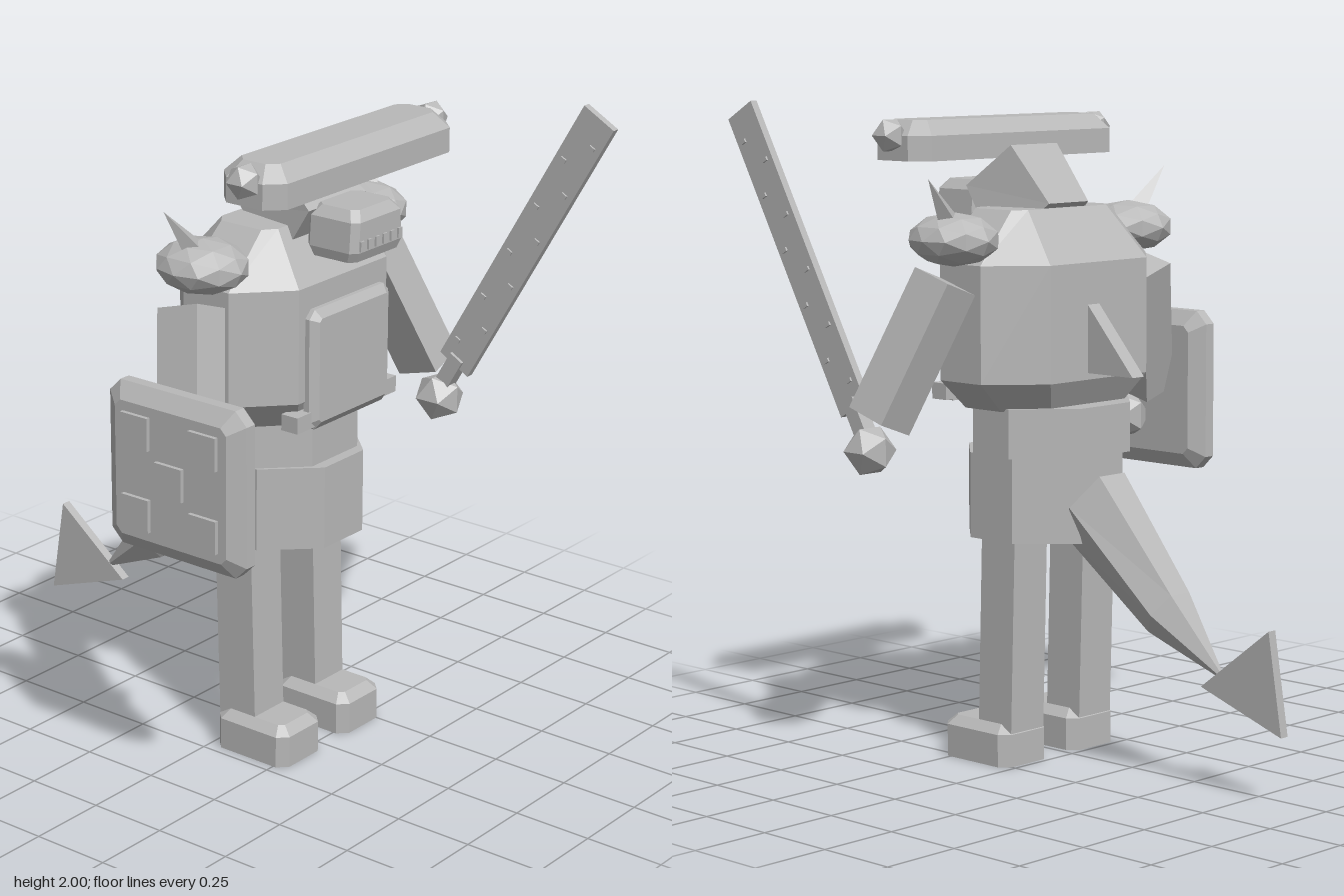
import * as THREE from 'three';

const CX = 0.03; // body's middle line

// Flat-shaded solid through a stack of equal-length rings, capped at both ends
function loft(rings) {
  const pos = [];
  const tri = (a, b, c) => pos.push(...a, ...b, ...c);
  const n = rings[0].length;
  for (let r = 0; r < rings.length - 1; r++) {
    for (let i = 0; i < n; i++) {
      const j = (i + 1) % n, lo = rings[r], hi = rings[r + 1];
      tri(lo[i], lo[j], hi[j]);
      tri(lo[i], hi[j], hi[i]);
    }
  }
  const first = rings[0], last = rings[rings.length - 1];
  for (let i = 1; i < n - 1; i++) {
    tri(first[0], first[i + 1], first[i]);
    tri(last[0], last[i], last[i + 1]);
  }
  const g = new THREE.BufferGeometry();
  g.setAttribute('position', new THREE.Float32BufferAttribute(pos, 3));
  g.computeVertexNormals();
  return g;
}

// Chamfered rectangle at height y: half sizes w, d, corner cuts cw, cd
function oct(y, w, d, cw, cd, z = 0) {
  return [
    [-w + cw, y, z + d], [w - cw, y, z + d], [w, y, z + d - cd], [w, y, z - d + cd],
    [w - cw, y, z - d], [-w + cw, y, z - d], [-w, y, z - d + cd], [-w, y, z + d - cd],
  ];
}

export function createModel() {
  const model = new THREE.Group();
  model.name = 'warrior';
  const stone = new THREE.MeshStandardMaterial({ color: 0xb8b8b8, flatShading: true });
  stone.name = 'grey stone';

  const add = (name, geo, x = 0, y = 0, z = 0, parent = model) => {
    const m = new THREE.Mesh(geo, stone);
    m.name = name;
    m.position.set(x, y, z);
    parent.add(m);
    return m;
  };
  const box = (name, w, h, d, x, y, z, parent) =>
    add(name, new THREE.BoxGeometry(w, h, d), x, y, z, parent);
  // Point a mesh's y axis from a to b and centre it between them
  const span = (mesh, a, b) => {
    mesh.position.copy(a).add(b).multiplyScalar(0.5);
    mesh.quaternion.setFromUnitVectors(new THREE.Vector3(0, 1, 0), b.clone().sub(a).normalize());
    return mesh;
  };
  const V = (x, y, z) => new THREE.Vector3(x, y, z);

  // Torso, belt and skirt
  add('torso', loft([
    oct(1.09, 0.265, 0.175, 0.11, 0.1, 0.085),
    oct(1.18, 0.36, 0.225, 0.15, 0.14, 0.085),
    oct(1.53, 0.36, 0.225, 0.15, 0.14, 0.085),
    oct(1.685, 0.21, 0.105, 0.04, 0.03, 0.095),
  ]), CX);
  add('belt', loft([
    oct(0.95, 0.26, 0.225, 0.15, 0.15, 0.06), oct(1.1, 0.26, 0.225, 0.15, 0.15, 0.06),
  ]), CX);
  add('skirt', loft([
    oct(0.69, 0.234, 0.235, 0.14, 0.147, 0.085), oct(0.95, 0.234, 0.235, 0.14, 0.147, 0.085),
  ]), CX);

  // Chest plate with a bevelled rim and a lower lip
  const plate = loft([
    oct(0, 0.19, 0.185, 0.025, 0.025), oct(0.02, 0.19, 0.185, 0.025, 0.025),
    oct(0.04, 0.165, 0.16, 0.01, 0.01),
  ]);
  plate.rotateX(Math.PI / 2);
  add('chestPlate', plate, CX + 0.01, 1.275, 0.305);
  box('plateLip', 0.48, 0.05, 0.06, CX, 1.125, 0.3);

  // Head: wedge-shaped skull and a blunt snout
  const skullSide = [[1.745, 0.285, 0.135], [1.87, 0.13, 0.1], [1.7, -0.015, 0.085], [1.55, 0.165, 0.135]];
  add('skull', loft([-1, 1].map(s => skullSide.map(([y, z, w]) => [s * w, y, z]))), CX);
  add('snout', loft([
    oct(1.61, 0.115, 0.08, 0.02, 0.02, 0.35), oct(1.64, 0.122, 0.092, 0.02, 0.02, 0.35),
    oct(1.73, 0.115, 0.092, 0.02, 0.02, 0.35), oct(1.76, 0.09, 0.07, 0.02, 0.02, 0.35),
  ]), CX);
  for (let i = 0; i < 6; i++) {
    box('tooth', 0.018, 0.03, 0.012, CX - 0.09 + i * 0.036, 1.66, 0.442);
  }

  // Long beam above the head with a knob at each end
  add('beam', loft([
    oct(1.83, 0.435, 0.115, 0.05, 0.05, 0.29), oct(1.905, 0.435, 0.115, 0.05, 0.05, 0.29),
    oct(1.95, 0.39, 0.07, 0.03, 0.03, 0.29),
  ]), CX);
  for (const s of [-1, 1]) {
    add('beamKnob', new THREE.IcosahedronGeometry(0.055, 0), CX + s * 0.44, 1.905, 0.295);
  }

  // Paired limbs and shoulder armour
  for (const s of [-1, 1]) {
    const side = s > 0 ? 'left' : 'right';
    const pad = add(side + 'ShoulderPad', new THREE.IcosahedronGeometry(1, 1), CX + s * 0.38, 1.605, 0.09);
    pad.scale.set(0.13, 0.08, 0.145);
    const spike = add(side + 'ShoulderSpike', new THREE.ConeGeometry(0.045, 0.2, 4));
    span(spike, V(CX + s * 0.395, 1.635, 0.085), V(CX + s * 0.51, 1.785, 0.06));

    // Upper end sits under the shoulder, lower end swings out and forward
    const arm = box(side + 'Arm', 0.125, 0.455, 0.15);
    span(arm, V(CX + s * 0.575, 1.08, 0.205), V(CX + s * 0.425, 1.48, 0.085));
    add(side + 'Hand', new THREE.IcosahedronGeometry(0.08, 0), CX + s * 0.56, 0.98, 0.265);

    const leg = box(side + 'Leg', 0.14, 0.64, 0.138, CX + s * 0.15, 0.4, 0.078);
    leg.rotation.x = -0.028;
    add(side + 'Foot', loft([
      oct(0, 0.1, 0.138, 0.03, 0.03), oct(0.1, 0.1, 0.138, 0.03, 0.03),
      oct(0.127, 0.07, 0.108, 0.015, 0.015),
    ]), CX + s * 0.15, 0, 0.153);
  }

  // Shield in the right hand, bevelled on both faces
  const shield = new THREE.Group();
  shield.name = 'shield';
  shield.position.set(-0.62, 1.072, 0.237);
  model.add(shield);
  const slab = loft([
    oct(-0.052, 0.205, 0.205, 0.02, 0.02), oct(-0.018, 0.252, 0.252, 0.04, 0.04),
    oct(0.018, 0.252, 0.252, 0.04, 0.04), oct(0.052, 0.205, 0.205, 0.02, 0.02),
  ]);
  slab.rotateZ(-Math.PI / 2);
  add('shieldSlab', slab, 0, 0, 0, shield);
  for (let i = -1; i <= 1; i++) {
    for (let j = -1; j <= 1; j++) {
      if ((i + j) % 2 === 0) box('shieldTile', 0.02, 0.1, 0.1, -0.055, i * 0.125, j * 0.125, shield);
    }
  }

  // Sword in the left hand, leaning forward and up
  const sword = new THREE.Group();
  sword.name = 'sword';
  sword.position.set(0.59, 1.1, 0.325);
  sword.rotation.x = 0.517;
  model.add(sword);
  box('blade', 0.024, 1.0, 0.12, 0, 0.5, 0, sword);
  box('grip', 0.045, 0.2, 0.05, 0, -0.07, 0, sword);
  for (let i = 0; i < 10; i++) {
    const z = i % 2 ? 0.03 : -0.03;
    box('bladeNick', 0.036, 0.012, 0.02, 0, 0.08 + i * 0.092, z, sword);
  }

  // Tail: six-sided sections across a sloping axis, then a flat barb
  const tailRing = (y, z, w, h) => {
    const ring = [];
    for (let i = 0; i < 6; i++) {
      const a = i / 6 * Math.PI * 2;
      const k = Math.sin(a) * h / 0.866;
      ring.push([CX + 0.01 + Math.cos(a) * w, y + k * 0.8, z - k * 0.6]);
    }
    return ring;
  };
  add('tail', loft([
    tailRing(0.8, -0.13, 0.11, 0.12), tailRing(0.51, -0.43, 0.08, 0.075),
    tailRing(0.345, -0.64, 0.006, 0.006),
  ].map(r => r.reverse()).reverse()));

  // Flat triangles standing in the side plane
  const fin = (name, pts, x0, x1) =>
    add(name, loft([x0, x1].map(x => pts.map(([y, z]) => [x, y, z]))));
  fin('tailBarb', [[0.31, -0.575], [0.51, -0.83], [0.205, -0.88]], 0.03, 0.06);
  fin('backFin', [[1.2, -0.1], [1.45, -0.1], [1.2, -0.32]], 0.03, 0.08);

  // Closed solids whose ring direction runs inward are flipped to face out
  model.traverse(m => {
    if (!m.isMesh) return;
    const p = m.geometry.attributes.position;
    if (m.geometry.index) return;
    let volume = 0;
    const t = [V(), V(), V()];
    for (let i = 0; i < p.count; i += 3) {
      t.forEach((v, k) => v.fromBufferAttribute(p, i + k));
      volume += t[0].dot(t[1].clone().cross(t[2]));
    }
    if (volume >= 0) return;
    for (let i = 0; i < p.count; i += 3) {
      t[0].fromBufferAttribute(p, i + 1);
      t[1].fromBufferAttribute(p, i + 2);
      p.setXYZ(i + 1, t[1].x, t[1].y, t[1].z);
      p.setXYZ(i + 2, t[0].x, t[0].y, t[0].z);
    }
    m.geometry.computeVertexNormals();
  });
  return model;
}
